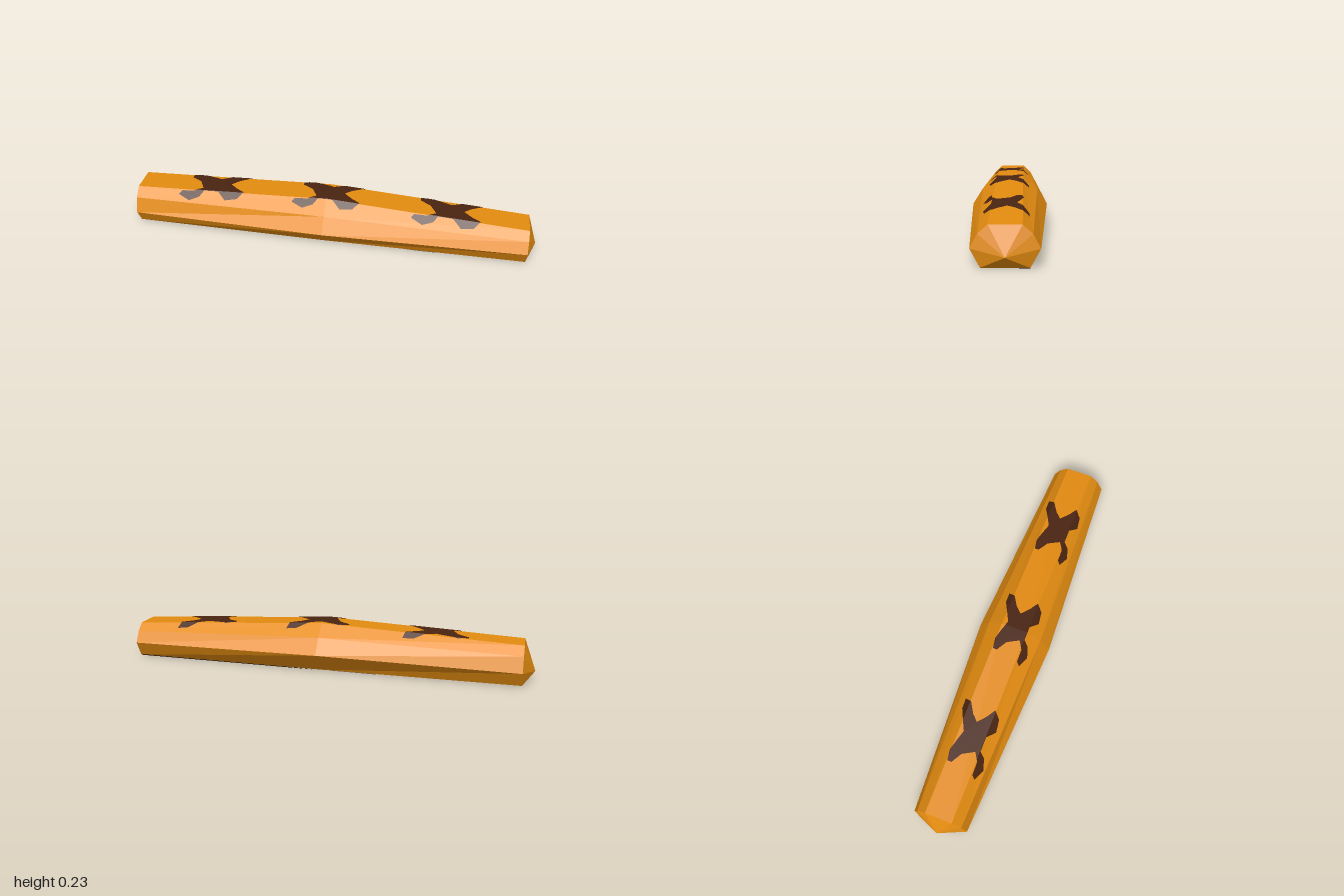
import * as THREE from 'three';

const flat = (name, color, side = THREE.FrontSide) => {
  const m = new THREE.MeshStandardMaterial({ color, flatShading: true, side });
  m.name = name;
  return m;
};

// Half sections [z, y] from the base edge up to the flat top, mirrored across z
const TOP_Z = 0.064, BASE = 0.003;
const sections = [
  { x: -0.945, half: [[0.093, BASE], [0.13, 0.071], [0.106, 0.145], [TOP_Z, 0.185]] },
  { x: 0, half: [[0.1, BASE], [0.18, 0.095], [0.133, 0.17], [TOP_Z, 0.225]] },
  { x: 0.957, half: [[0.093, BASE], [0.132, 0.075], [0.103, 0.13], [TOP_Z, 0.165]] },
];

function bodyGeometry() {
  const rings = sections.map(({ x, half }) => [
    ...half.map(([z, y]) => [x, y, z]),
    ...half.slice().reverse().map(([z, y]) => [x, y, -z]),
  ]);
  const tris = [];
  const n = 8, left = [-1, 0.05, 0], right = [1, 0.05, 0];
  for (let j = 0; j < n; j++) {
    const k = (j + 1) % n;
    for (let i = 0; i < 2; i++) {
      const a = rings[i][j], b = rings[i][k], c = rings[i + 1][k], d = rings[i + 1][j];
      tris.push(a, d, c, a, c, b);
    }
    tris.push(left, rings[0][j], rings[0][k], right, rings[2][k], rings[2][j]);
  }
  const g = new THREE.BufferGeometry();
  g.setAttribute('position', new THREE.Float32BufferAttribute(tris.flat(), 3));
  g.computeVertexNormals();
  return g;
}

// Height of the top and shoulder faces at (x, z)
function topHeight(x, z) {
  const end = x < 0 ? sections[0] : sections[2], mid = sections[1];
  const t = x / end.x, lerp = THREE.MathUtils.lerp;
  const at = (i) => [0, 1].map((c) => lerp(mid.half[i][c], end.half[i][c], t));
  const [zs, ys] = at(2), [zt, yt] = at(3);
  const s = Math.max(0, (Math.abs(z) - zt) / (zs - zt));
  return lerp(yt, ys, s);
}

// Keeps the part of a polygon where sign * (p[axis] - limit) >= 0
function clip(poly, axis, limit, sign) {
  const out = [];
  poly.forEach((p, i) => {
    const q = poly[(i + 1) % poly.length];
    const dp = sign * (p[axis] - limit), dq = sign * (q[axis] - limit);
    if (dp >= 0) out.push(p);
    if (dp * dq < 0) {
      const t = dp / (dp - dq);
      out.push([p[0] + (q[0] - p[0]) * t, p[1] + (q[1] - p[1]) * t]);
    }
  });
  return out;
}

const plate = (poly, zSign) =>
  new THREE.ShapeGeometry(new THREE.Shape(poly.map(([x, z]) => new THREE.Vector2(x, z * zSign))))
    .rotateX(zSign * Math.PI / 2);

// Crossed scorch mark outline [x, z]
const mark = [
  [-0.13, -0.06], [-0.08, -0.068], [-0.03, -0.055], [0.02, -0.04], [0.07, -0.065], [0.12, -0.09],
  [0.17, -0.092], [0.16, -0.06], [0.11, -0.03], [0.08, 0], [0.12, 0.035], [0.16, 0.06],
  [0.13, 0.09], [0.07, 0.098], [0.03, 0.066], [-0.04, 0.066], [-0.06, 0.09], [-0.11, 0.106],
  [-0.165, 0.085], [-0.15, 0.07], [-0.09, 0.069], [-0.05, 0.045], [-0.08, -0.01], [-0.13, -0.04],
];

// Stains under the base [x, z]
const stains = [
  [[0.62, -0.05], [0.5, -0.055], [0.38, -0.04], [0.26, -0.005], [0.175, 0.03], [0.2, 0.05],
    [0.33, 0.09], [0.43, 0.096], [0.535, 0.095]],
  [[0.01, 0.05], [0.015, -0.03], [-0.01, -0.075], [-0.06, -0.094], [-0.27, -0.096],
    [-0.31, -0.045], [-0.26, 0.005], [-0.19, 0.04], [-0.06, 0.07]],
];

export function createModel() {
  const group = new THREE.Group();
  const crust = flat('golden crust', 0xe48c10);
  const brown = flat('dark brown', 0x4a2411, THREE.DoubleSide);
  const grey = flat('grey stain', 0x5c5c5c, THREE.DoubleSide);
  const black = flat('black', 0x000000, THREE.DoubleSide);
  const add = (name, geometry, material) => {
    const mesh = new THREE.Mesh(geometry, material);
    mesh.name = name;
    group.add(mesh);
  };

  add('body', bodyGeometry(), crust);

  // Marks, split along the body's edges so that each piece lies on its face
  for (const cx of [-0.565, 0, 0.572]) {
    const poly = mark.map(([x, z]) => [x + cx, z]);
    for (const side of [-1, 1]) {
      const half = clip(poly, 0, 0, side);
      if (half.length < 3) continue;
      const pieces = [
        clip(clip(half, 1, TOP_Z, -1), 1, -TOP_Z, 1),
        clip(half, 1, TOP_Z, 1),
        clip(half, 1, -TOP_Z, -1),
      ];
      for (const piece of pieces) {
        if (piece.length < 3) continue;
        const g = plate(piece, -1), p = g.attributes.position;
        for (let i = 0; i < p.count; i++) p.setY(i, topHeight(p.getX(i), p.getZ(i)) + 0.003);
        g.computeVertexNormals();
        add('topMark', g, brown);
      }
    }
  }

  // Base details
  for (const s of stains) add('baseStain', plate(s, 1), grey);
  add('baseStreak', plate([[0.955, -0.093], [0.955, -0.05], [0.02, -0.098]], 1), black);
  return group;
}
